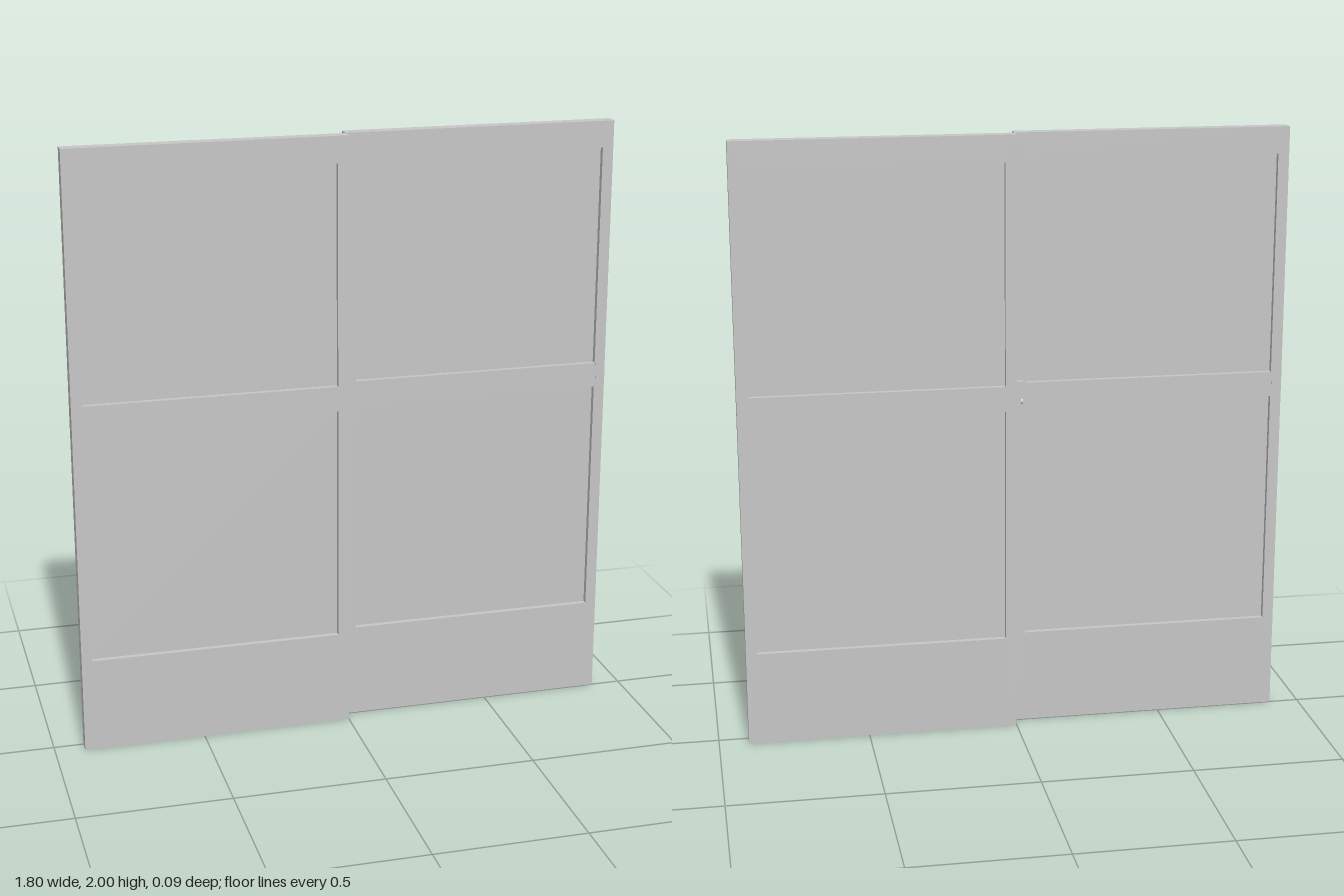
import * as THREE from 'three';

const W = 0.902, H = 2, T = 0.0445;

function box(name, mat, [x0, x1], [y0, y1], [z0, z1]) {
  const m = new THREE.Mesh(new THREE.BoxGeometry(x1 - x0, y1 - y0, z1 - z0), mat);
  m.position.set((x0 + x1) / 2, (y0 + y1) / 2, (z0 + z1) / 2);
  m.name = name;
  return m;
}

function rect(PathClass, x0, y0, x1, y1) {
  const p = new PathClass();
  p.moveTo(x0, y0);
  p.lineTo(x1, y0);
  p.lineTo(x1, y1);
  p.lineTo(x0, y1);
  p.closePath();
  return p;
}

// One door leaf spanning x 0..W and z 0..T, with its outer edge at x = W
function doorLeaf(name, mat) {
  const leaf = new THREE.Group();
  leaf.name = name;

  // Frame with two openings
  const openings = [[0.315, 1.102], [1.185, 1.913]];
  const shape = rect(THREE.Shape, 0, 0, W, H);
  for (const [a, b] of openings) shape.holes.push(rect(THREE.Path, 0.036, a, W - 0.036, b));
  const frame = new THREE.Mesh(
    new THREE.ExtrudeGeometry(shape, { depth: T, bevelEnabled: false }), mat);
  frame.name = 'frame';
  leaf.add(frame);

  // Recessed infill panels
  for (const [a, b] of openings)
    leaf.add(box('infillPanel', mat, [0.036, W - 0.036], [a, b], [0.018, T - 0.018]));

  // Thin pull plates on both faces of the outer stile
  for (const z of [[-0.001, 0], [T, T + 0.001]])
    leaf.add(box('pullPlate', mat, [W - 0.032, W], [1.104, 1.184], z));
  return leaf;
}

export function createModel() {
  const grey = new THREE.MeshStandardMaterial({ color: 0xc6c6c6 });
  grey.name = 'lightGrey';
  const model = new THREE.Group();
  model.name = 'slidingDoors';

  // Rear leaf on the +x side, front leaf turned half round onto the -x side
  const rear = doorLeaf('rearDoor', grey);
  rear.position.z = -T;
  const front = doorLeaf('frontDoor', grey);
  front.rotation.y = Math.PI;
  front.position.z = T;
  model.add(rear, front);

  // Latch in the corner where the leaves meet
  const latch = new THREE.Group();
  latch.name = 'latch';
  latch.add(
    box('latchPlate', grey, [-0.006, 0], [1.1, 1.2], [-0.04, -0.008]),
    box('latchBody', grey, [-0.016, -0.006], [1.12, 1.185], [-0.036, -0.01]),
    box('latchLever', grey, [-0.024, -0.006], [1.15, 1.2], [-0.044, -0.026]));
  const pivot = new THREE.Mesh(new THREE.CylinderGeometry(0.009, 0.009, 0.022, 16), grey);
  pivot.name = 'latchPivot';
  pivot.rotation.z = Math.PI / 2;
  pivot.position.set(-0.012, 1.13, -0.023);
  latch.add(pivot);
  model.add(latch);
  return model;
}
